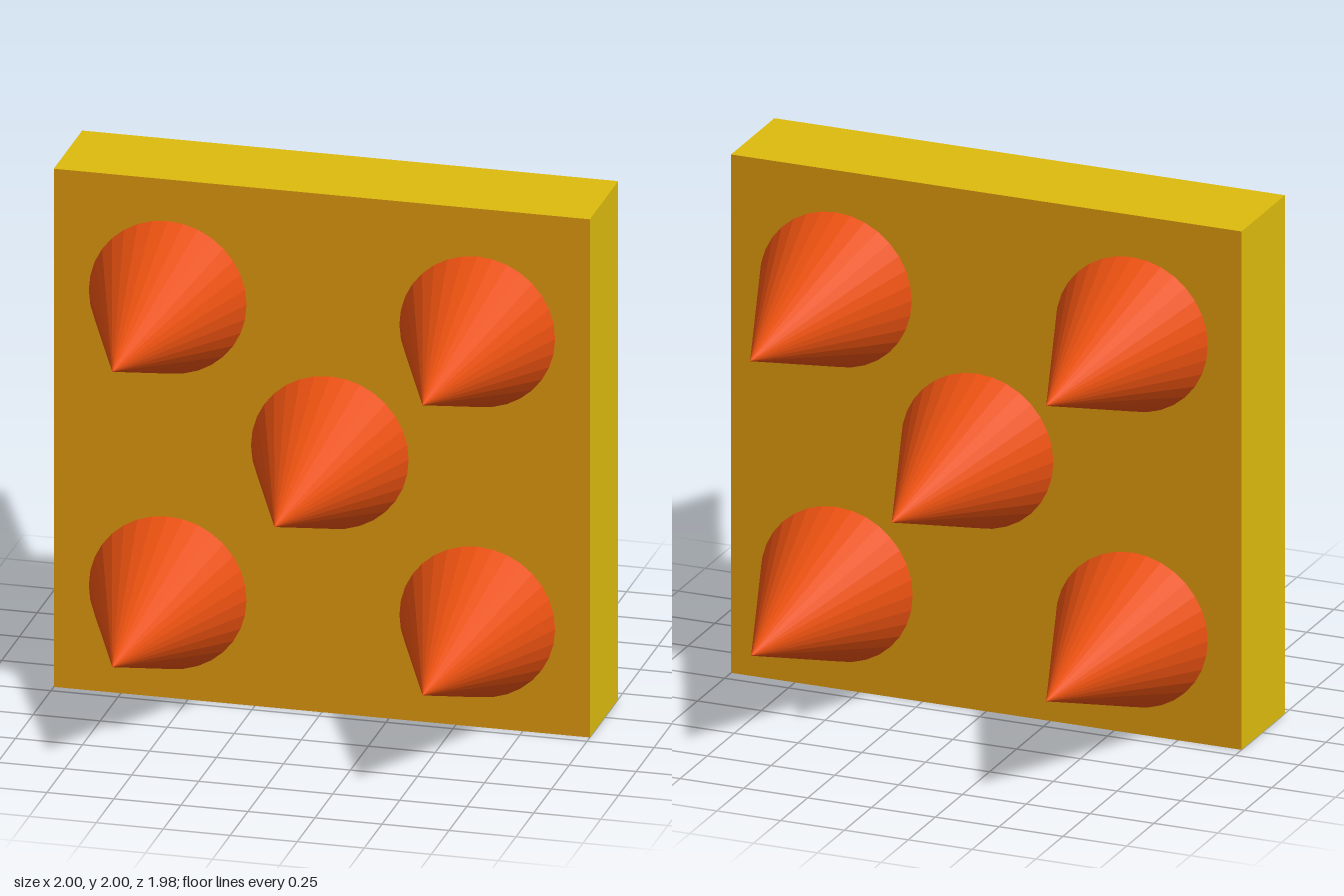
import * as THREE from 'three';

const mat = (name, color) => Object.assign(new THREE.MeshStandardMaterial({ color }), { name });

export function createModel() {
  const group = new THREE.Group();
  const yellow = mat('yellow edge', 0xdcba0e);
  const amber = mat('amber face', 0xdc970e);
  const orange = mat('orange spike', 0xe85010);
  orange.flatShading = true;

  // Square slab: yellow rim, amber front and back
  const slab = new THREE.Mesh(
    new THREE.BoxGeometry(2, 2, 0.4),
    [yellow, yellow, yellow, yellow, amber, amber]
  );
  slab.name = 'slab';
  slab.position.set(0, 1, 0.01);
  group.add(slab);

  // Cone lying along +z with its base at z = 0
  const length = 0.79;
  const cone = new THREE.ConeGeometry(0.298, length, 32);
  cone.translate(0, length / 2, 0);
  cone.rotateX(Math.PI / 2);

  // Spikes: x, y, base z; the sign of z sets the direction
  const spikes = [
    [-0.575, 1.545, 0.2], [0.58, 1.525, 0.19], [0.03, 1.005, 0.2],
    [-0.575, 0.405, 0.2], [0.58, 0.405, 0.19],
    [-0.575, 1.545, -0.203], [0.585, 1.545, -0.203], [0.03, 1.005, -0.203],
    [-0.575, 0.405, -0.203], [0.585, 0.405, -0.193],
  ];
  for (const [x, y, z] of spikes) {
    const spike = new THREE.Mesh(cone, orange);
    spike.name = z > 0 ? 'frontSpike' : 'backSpike';
    spike.position.set(x, y, z);
    if (z < 0) spike.rotation.y = Math.PI;
    group.add(spike);
  }
  return group;
}
